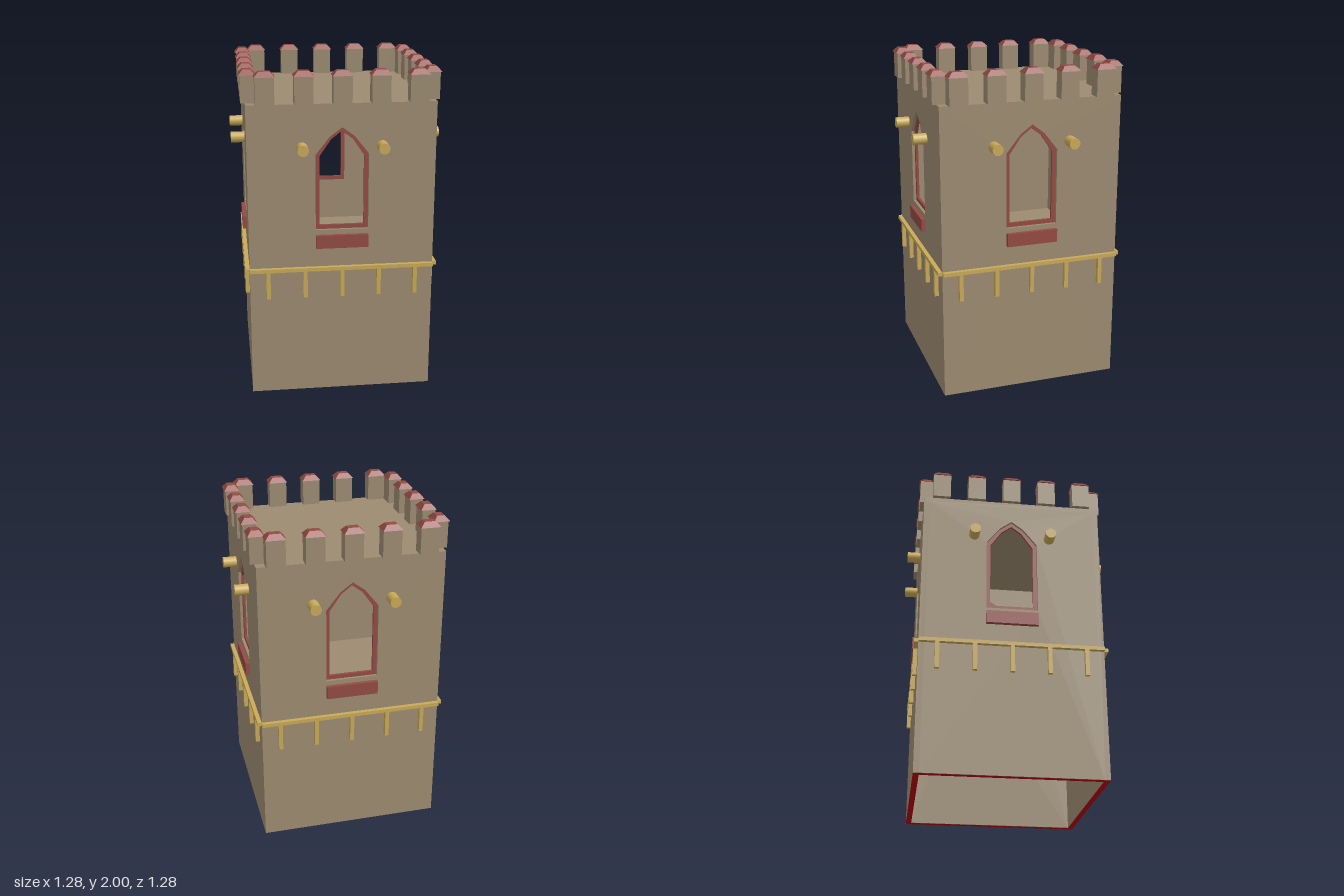
import * as THREE from 'three';

const HALF = 0.555;   // half width of the tower
const WALL = 0.034;   // wall thickness
const TOP = 1.81;     // roof level
const OUT = 0.58;     // how far the trim reaches

const mat = (name, color) => {
  const m = new THREE.MeshStandardMaterial({ color });
  m.name = name;
  return m;
};

// Pointed arch outline, listed from the lower left around to the left spring
const archPoints = (w, bottom, spring, midX, midY, peak) => [
  [-w, bottom], [w, bottom], [w, spring], [midX, midY],
  [0, peak], [-midX, midY], [-w, spring],
].map(([x, y]) => new THREE.Vector2(x, y));

const rectPoints = (w, y0, y1) =>
  [[-w, y0], [w, y0], [w, y1], [-w, y1]].map(([x, y]) => new THREE.Vector2(x, y));

function shapeWithHole(outer, hole) {
  const s = new THREE.Shape(outer);
  s.holes.push(new THREE.Path(hole));
  return s;
}

const extrude = (shape, depth) =>
  new THREE.ExtrudeGeometry(shape, { depth, bevelEnabled: false });

// Box whose upper face is shrunk to make a truncated pyramid
function capGeometry(w, h, d, topW, topD) {
  const g = new THREE.BoxGeometry(w, h, d).toNonIndexed();
  const p = g.attributes.position;
  for (let i = 0; i < p.count; i++) {
    if (p.getY(i) > 0) {
      p.setX(i, Math.sign(p.getX(i)) * topW / 2);
      p.setZ(i, Math.sign(p.getZ(i)) * topD / 2);
    }
  }
  g.computeVertexNormals();
  return g;
}

export function createModel() {
  const stone = mat('stone', 0x9c8b70);
  const red = mat('red trim', 0x934b43);
  const wood = mat('yellow wood', 0xc9aa58);
  const rimRed = mat('base rim red', 0xb8000c);

  const model = new THREE.Group();
  model.name = 'tower';

  const add = (parent, name, geometry, material, x = 0, y = 0, z = 0) => {
    const m = new THREE.Mesh(geometry, material);
    m.name = name;
    m.position.set(x, y, z);
    parent.add(m);
    return m;
  };
  const box = (parent, name, material, w, y0, y1, z0, z1, x = 0) =>
    add(parent, name, new THREE.BoxGeometry(w, y1 - y0, z1 - z0), material,
      x, (y0 + y1) / 2, (z0 + z1) / 2);

  const outerArch = archPoints(0.157, 1.05, 1.51, 0.072, 1.617, 1.67);
  const innerArch = archPoints(0.132, 1.075, 1.497, 0.063, 1.597, 1.645);
  const frameGeo = extrude(shapeWithHole(outerArch, innerArch), 0.016);
  const capGeo = capGeometry(0.12, 0.03, 0.097, 0.064, 0.046);
  const logGeo = new THREE.CylinderGeometry(0.033, 0.033, 0.09, 20).rotateX(Math.PI / 2);

  // Four identical sides, each turned by a quarter
  ['front', 'left', 'back', 'right'].forEach((label, i) => {
    const side = new THREE.Group();
    side.name = label + 'Side';
    side.rotation.y = i * Math.PI / 2;
    model.add(side);

    // Wall with arched opening; alternate walls fit between their neighbours
    const w = i % 2 ? HALF - WALL : HALF;
    const wallShape = shapeWithHole(rectPoints(w, 0.002, TOP - 0.03), outerArch);
    add(side, 'wall', extrude(wallShape, WALL), stone, 0, 0, HALF - WALL);

    // Window frame set back in the opening, and the sill below
    add(side, 'windowFrame', frameGeo, red, 0, 0, HALF - WALL);
    box(side, 'windowSill', red, 0.314, 0.94, 1.02, HALF, OUT);

    // Railing and its brackets
    box(side, 'rail', wood, HALF * 2, 0.797, 0.82, HALF, OUT);
    for (const x of [-0.445, -0.2225, 0, 0.2225, 0.445]) {
      box(side, 'railBracket', wood, 0.025, 0.63, 0.797, HALF, OUT, x);
      // Battlement with a sloped cap
      box(side, 'merlon', stone, 0.11, TOP, 1.97, 0.5, OUT, x);
      add(side, 'merlonCap', capGeo, red, x, 1.985, 0.54);
    }

    // Beam ends
    for (const x of [-0.235, 0.235]) add(side, 'beamEnd', logGeo, wood, x, 1.555, 0.593);
  });

  // Roof slab and inner floor
  const roof = new THREE.BoxGeometry(HALF * 2, 0.03, HALF * 2);
  add(model, 'roof', roof, stone, 0, TOP - 0.015, 0);
  const inner = (HALF - WALL) * 2;
  add(model, 'innerFloor', new THREE.BoxGeometry(inner, 0.11, inner), stone, 0, 0.715, 0);

  // Thin rim on the underside of the walls
  const rim = shapeWithHole(rectPoints(HALF, -HALF, HALF),
    rectPoints(HALF - WALL, -HALF + WALL, HALF - WALL));
  add(model, 'baseRim', new THREE.ShapeGeometry(rim).rotateX(Math.PI / 2), rimRed);

  return model;
}
